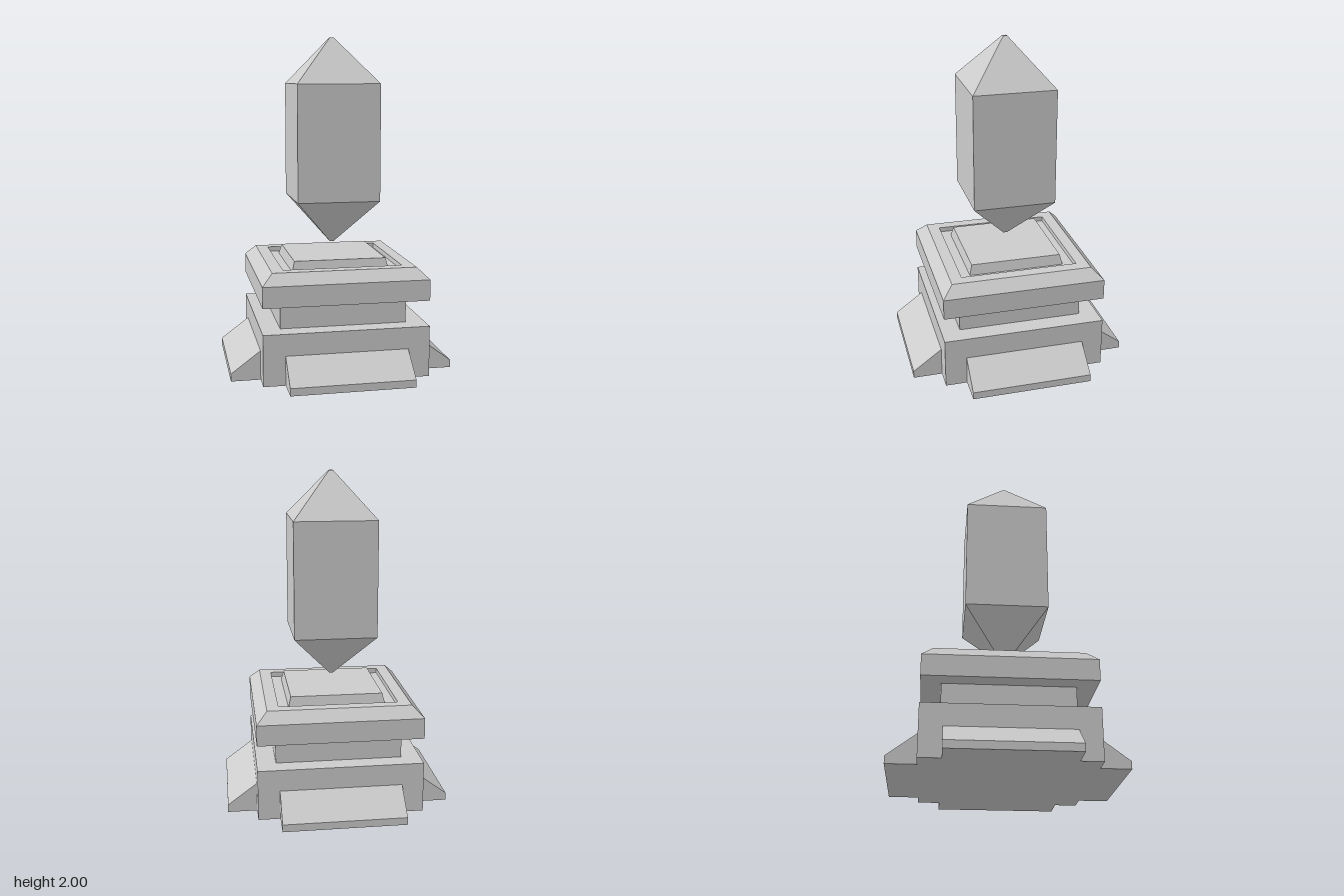
import * as THREE from 'three';

const material = new THREE.MeshStandardMaterial({ color: 0xcccccc, flatShading: true });

// Square solid turned from a profile of [half width, height], listed bottom to top
function squareTurned(name, profile) {
  const points = profile.map(([half, y]) => new THREE.Vector2(half * Math.SQRT2, y));
  const geometry = new THREE.LatheGeometry(points, 4, Math.PI / 4).toNonIndexed();
  geometry.computeVertexNormals();
  const mesh = new THREE.Mesh(geometry, material);
  mesh.name = name;
  return mesh;
}

// Sloped buttress pointing along +x
function buttressGeometry() {
  const shape = new THREE.Shape([
    [0.495, 0], [0.67, 0], [0.67, 0.045], [0.495, 0.175],
  ].map(([x, y]) => new THREE.Vector2(x, y)));
  const width = 0.73;
  return new THREE.ExtrudeGeometry(shape, { depth: width, bevelEnabled: false })
    .translate(0, 0, -width / 2);
}

export function createModel() {
  const model = new THREE.Group();
  model.name = 'crystalPedestal';

  // Pedestal: plinth, narrow neck, chamfered cap with a sunken top, raised pad
  model.add(
    squareTurned('plinth', [[0, 0], [0.495, 0], [0.495, 0.305], [0, 0.305]]),
    squareTurned('neck', [[0.38, 0.305], [0.38, 0.46]]),
    squareTurned('cap', [
      [0, 0.46], [0.495, 0.46], [0.495, 0.585], [0.43, 0.65],
      [0.358, 0.65], [0.358, 0.62], [0, 0.62],
    ]),
    squareTurned('pad', [[0.293, 0.62], [0.278, 0.682], [0, 0.682]]),
  );

  // One buttress on each side of the plinth
  const buttress = buttressGeometry();
  for (let i = 0; i < 4; i++) {
    const mesh = new THREE.Mesh(buttress, material);
    mesh.name = `buttress${i + 1}`;
    mesh.rotation.y = i * Math.PI / 2;
    model.add(mesh);
  }

  // Floating crystal with blunt tips
  model.add(squareTurned('crystal', [
    [0, 0.745], [0.012, 0.745], [0.25, 1.022], [0.25, 1.723], [0.012, 2], [0, 2],
  ]));

  return model;
}
